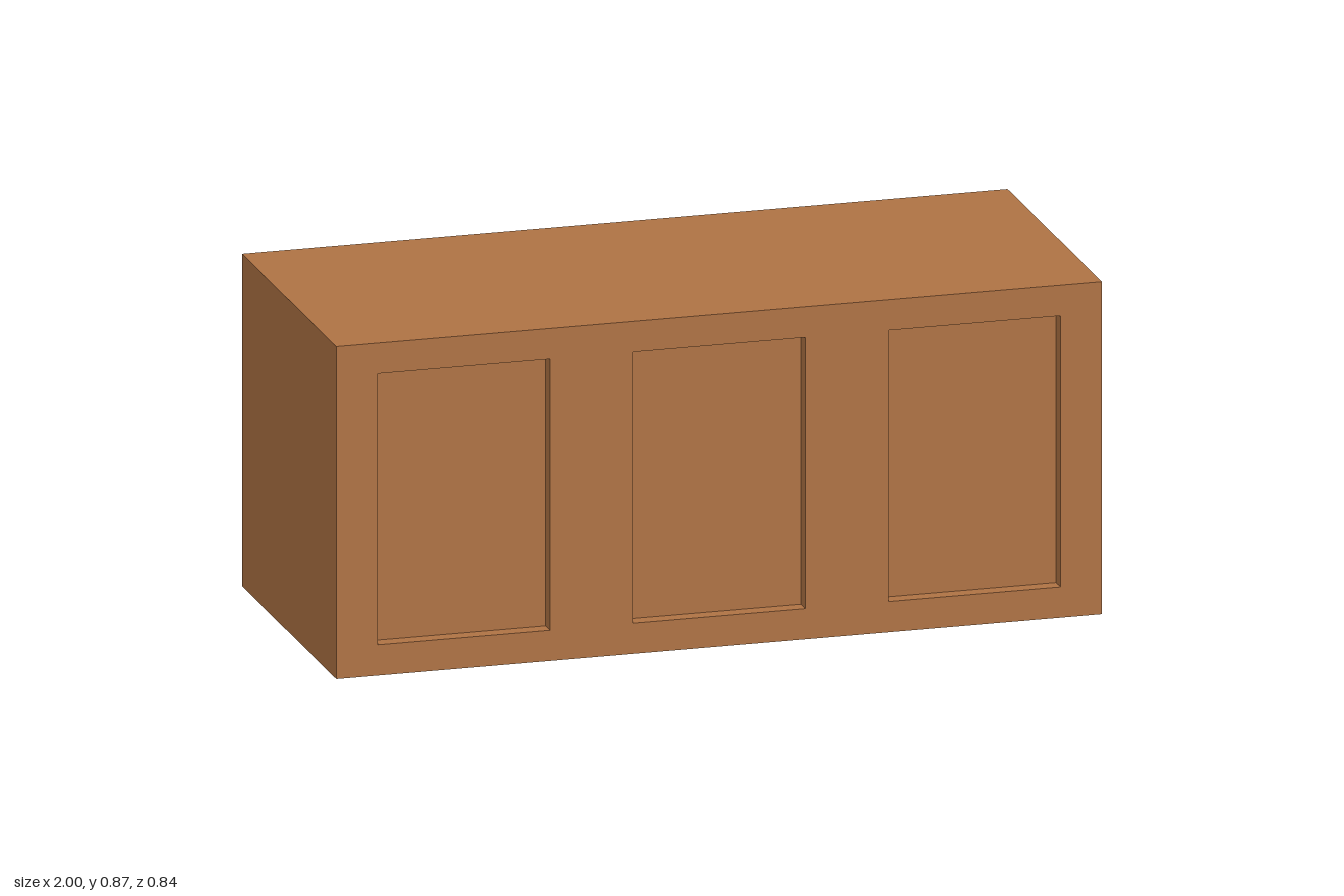
import * as THREE from 'three';

const W = 2, H = 0.87, D = 0.84;   // overall size
const RECESS = 0.04;               // depth of the front panels
const PANEL_W = 0.45, PANEL_Y0 = 0.08, PANEL_Y1 = 0.79;

function rect(path, x0, y0, x1, y1) {
  path.moveTo(x0, y0);
  path.lineTo(x1, y0);
  path.lineTo(x1, y1);
  path.lineTo(x0, y1);
  path.closePath();
  return path;
}

export function createModel() {
  const group = new THREE.Group();
  group.name = 'sideboard';
  const wood = new THREE.MeshStandardMaterial({ color: 0xb17445 });
  wood.name = 'warm brown wood';

  // Solid carcass; its front forms the floors of the recessed panels
  const carcass = new THREE.Mesh(new THREE.BoxGeometry(W, H, D - RECESS), wood);
  carcass.name = 'carcass';
  carcass.position.set(0, H / 2, -RECESS / 2);
  group.add(carcass);

  // Front frame with three equal openings
  const shape = rect(new THREE.Shape(), -W / 2, 0, W / 2, H);
  for (const i of [-1, 0, 1]) {
    const x = i * W / 3;
    shape.holes.push(rect(new THREE.Path(), x - PANEL_W / 2, PANEL_Y0, x + PANEL_W / 2, PANEL_Y1));
  }
  const frame = new THREE.Mesh(
    new THREE.ExtrudeGeometry(shape, { depth: RECESS, bevelEnabled: false }), wood);
  frame.name = 'frontFrame';
  frame.position.z = D / 2 - RECESS;
  group.add(frame);

  return group;
}
